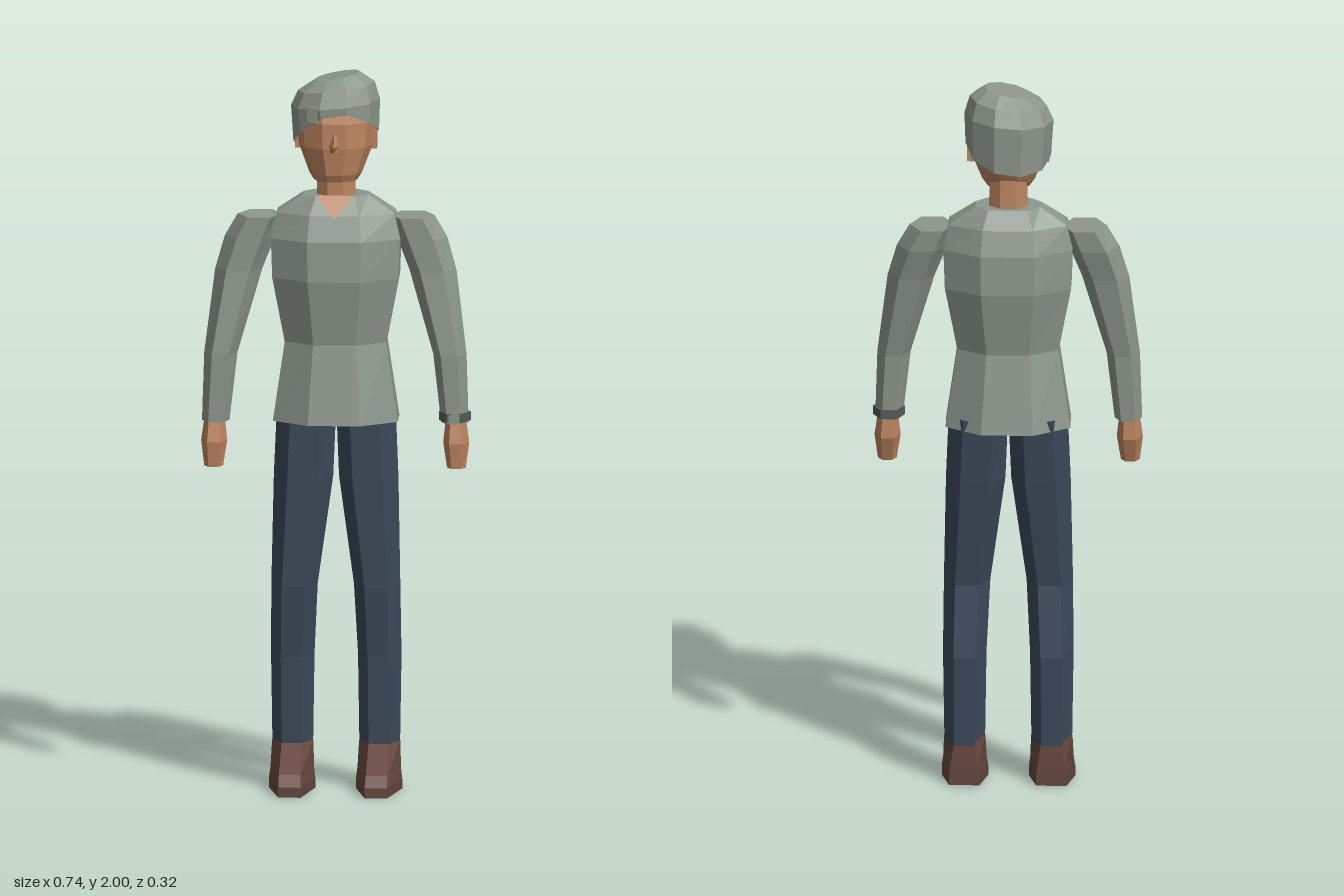
import * as THREE from 'three';

const mat = (name, color) => Object.assign(new THREE.MeshStandardMaterial({ color }), { name });

// Horizontal ring of points, running front -> +x -> back; y may be a rule of (x, z)
function ring(y, cx, cz, rx, rz, n, off = 0.5) {
  return Array.from({ length: n }, (_, j) => {
    const t = ((j + off) * 2 * Math.PI) / n;
    const x = cx + rx * Math.sin(t), z = cz + rz * Math.cos(t);
    return [x, typeof y === 'function' ? y(x, z) : y, z];
  });
}

// Faceted skin over rings listed from bottom to top
function loft(rings, capBottom = true) {
  const pos = [], n = rings[0].length;
  const tri = (a, b, c) => pos.push(...a, ...b, ...c);
  const centre = (r) => [0, 1, 2].map((k) => r.reduce((s, p) => s + p[k], 0) / n);
  const low = rings[0], high = rings[rings.length - 1];
  const cl = centre(low), ch = centre(high);
  for (let j = 0; j < n; j++) {
    const k = (j + 1) % n;
    for (let i = 0; i + 1 < rings.length; i++) {
      const a = rings[i], b = rings[i + 1];
      tri(a[j], a[k], b[k]);
      tri(a[j], b[k], b[j]);
    }
    tri(ch, high[j], high[k]);
    if (capBottom) tri(cl, low[k], low[j]);
  }
  const g = new THREE.BufferGeometry();
  g.setAttribute('position', new THREE.Float32BufferAttribute(pos, 3));
  g.computeVertexNormals();
  return g;
}

export function createModel() {
  const model = new THREE.Group();
  const cloth = mat('grey green cloth', 0x8d978d);
  const denim = mat('dark blue denim', 0x3c495a);
  const skin = mat('skin', 0xbd8560);
  const leather = mat('brown leather', 0x65473f);
  const band = mat('dark band', 0x575c58);
  cloth.side = THREE.DoubleSide;
  skin.side = THREE.DoubleSide;
  const add = (name, geometry, material) => {
    const m = new THREE.Mesh(geometry, material);
    m.name = name;
    model.add(m);
    return m;
  };

  // Sweater body: [y, half width, front z, back z, share of flat front]
  const torso = [
    [1.03, 0.172, 0.1, -0.163, 0.42],
    [1.25, 0.14, 0.065, -0.125, 0.42],
    [1.43, 0.174, 0.09, -0.155, 0.42],
    [1.54, 0.178, 0.083, -0.15, 0.42],
    [1.61, 0.163, 0.058, -0.13, 0.42],
    [1.66, 0.09, 0.025, -0.1, 0.6],
  ].map(([y, w, f, b, s]) => {
    const c = (f + b) / 2, d = ((f - b) / 2) * 0.42;
    return [[-w * s, y, f], [w * s, y, f], [w, y, c + d], [w, y, c - d],
      [w * s, y, b], [-w * s, y, b], [-w, y, c - d], [-w, y, c + d]];
  });
  add('sweaterBody', loft(torso), cloth);

  // Skin showing in the V neckline
  const vee = new THREE.BufferGeometry();
  vee.setAttribute('position', new THREE.Float32BufferAttribute(
    [-0.052, 1.663, 0.029, 0, 1.603, 0.067, 0.052, 1.663, 0.029], 3));
  vee.computeVertexNormals();
  add('neckline', vee, skin);

  // Neck and head
  add('neck', loft([
    ring(1.62, 0, -0.033, 0.058, 0.054, 8),
    ring(1.74, 0, -0.033, 0.055, 0.052, 8),
  ]), skin);
  add('head', loft([
    [1.705, 0.06, 0.06, -0.055],
    [1.725, 0.073, 0.07, -0.075],
    [1.8, 0.102, 0.082, -0.12],
    [1.87, 0.11, 0.082, -0.145],
    [1.94, 0.095, 0.06, -0.13],
  ].map(([y, w, f, b]) => ring(y, 0, (f + b) / 2, w, (f - b) / 2, 10))), skin);
  add('nose', loft([
    [[-0.016, 1.79, 0.07], [0, 1.792, 0.085], [0.016, 1.79, 0.07]],
    [[-0.016, 1.81, 0.07], [0, 1.808, 0.11], [0.016, 1.81, 0.07]],
    [[-0.008, 1.842, 0.07], [0, 1.842, 0.082], [0.008, 1.842, 0.07]],
  ]), skin);

  // Lopsided knitted cap with a slanting brim and a small tab
  const brim = (x, z) => 1.82 + 0.33 * (z + 0.035) + 0.5 * Math.max(0, z - 0.02) + 0.15 * x;
  add('cap', loft([
    ring(brim, 0, -0.036, 0.118, 0.127, 10),
    ring((x) => 1.915 + 0.08 * x, -0.002, -0.038, 0.123, 0.13, 10),
    ring((x) => 1.96 + 0.13 * x, 0, -0.037, 0.106, 0.112, 10),
    ring((x) => 1.988 + 0.19 * x, 0.002, -0.037, 0.064, 0.066, 10),
  ], false), cloth);
  const tab = add('capTab', new THREE.BoxGeometry(0.026, 0.042, 0.014), cloth);
  tab.position.set(-0.06, 1.897, 0.077);
  tab.rotation.y = -0.35;

  // Paired parts, s = 1 for the left side
  for (const s of [1, -1]) {
    const side = s > 0 ? 'left' : 'right';
    // Six-sided limb from rows of [y, centre x, half width, centre z, half depth]
    const limb = (rows) => loft(rows.map(([y, cx, w, cz, d]) => ring(y, s * cx, cz, w, d / 0.866, 6)));

    const ear = add(side + 'Ear', new THREE.BoxGeometry(0.018, 0.05, 0.028), skin);
    ear.position.set(s * 0.104, 1.812, -0.037);

    add(side + 'Sleeve', limb([
      [1.03, 0.33, 0.038, 0.015, 0.042],
      [1.22, 0.316, 0.046, 0.01, 0.046],
      [1.45, 0.268, 0.065, -0.02, 0.055],
      [1.54, 0.237, 0.07, -0.033, 0.066],
      [1.6, 0.21, 0.062, -0.035, 0.068],
    ]), cloth);
    add(side + 'Hand', limb([
      [0.905, 0.335, 0.026, 0.03, 0.024],
      [0.975, 0.334, 0.036, 0.02, 0.04],
      [1.04, 0.333, 0.028, 0.015, 0.03],
    ]), skin);
    add(side + 'TrouserLeg', limb([
      [0.11, 0.12, 0.056, -0.037, 0.058],
      [0.37, 0.12, 0.06, -0.038, 0.069],
      [0.57, 0.114, 0.064, -0.014, 0.065],
      [0.87, 0.09, 0.082, -0.03, 0.083],
      [1.06, 0.082, 0.082, -0.038, 0.092],
    ]), denim);

    // Shoe: [y, toe inner x, toe outer x, toe z, inner x, outer x, mid z, heel z, heel inset]
    const shoe = [
      [0, 0.088, 0.15, 0.162, 0.056, 0.184, 0, -0.1, 0.022],
      [0.028, 0.088, 0.15, 0.162, 0.056, 0.184, 0, -0.1, 0.022],
      [0.058, 0.09, 0.15, 0.132, 0.06, 0.18, -0.01, -0.099, 0.022],
      [0.128, 0.092, 0.148, 0.022, 0.063, 0.177, -0.037, -0.094, 0.03],
    ].map(([y, ti, to, tz, xi, xo, mz, hz, h]) => {
      const pts = [[ti, y, tz], [to, y, tz], [xo, y, mz], [xo - h, y, hz], [xi + h, y, hz], [xi, y, mz]];
      return s > 0 ? pts : pts.map(([x, py, z]) => [-x, py, z]).reverse();
    });
    add(side + 'Shoe', loft(shoe), leather);
  }

  // Wrist band with a small face on the left arm
  add('wristBand', loft([
    ring(1.035, 0.33, 0.014, 0.044, 0.056, 6),
    ring(1.06, 0.33, 0.014, 0.044, 0.056, 6),
  ]), band);
  const face = add('wristBandFace', new THREE.CylinderGeometry(0.018, 0.018, 0.009, 6), cloth);
  face.rotation.x = Math.PI / 2;
  face.position.set(0.33, 1.047, 0.063);

  return model;
}
